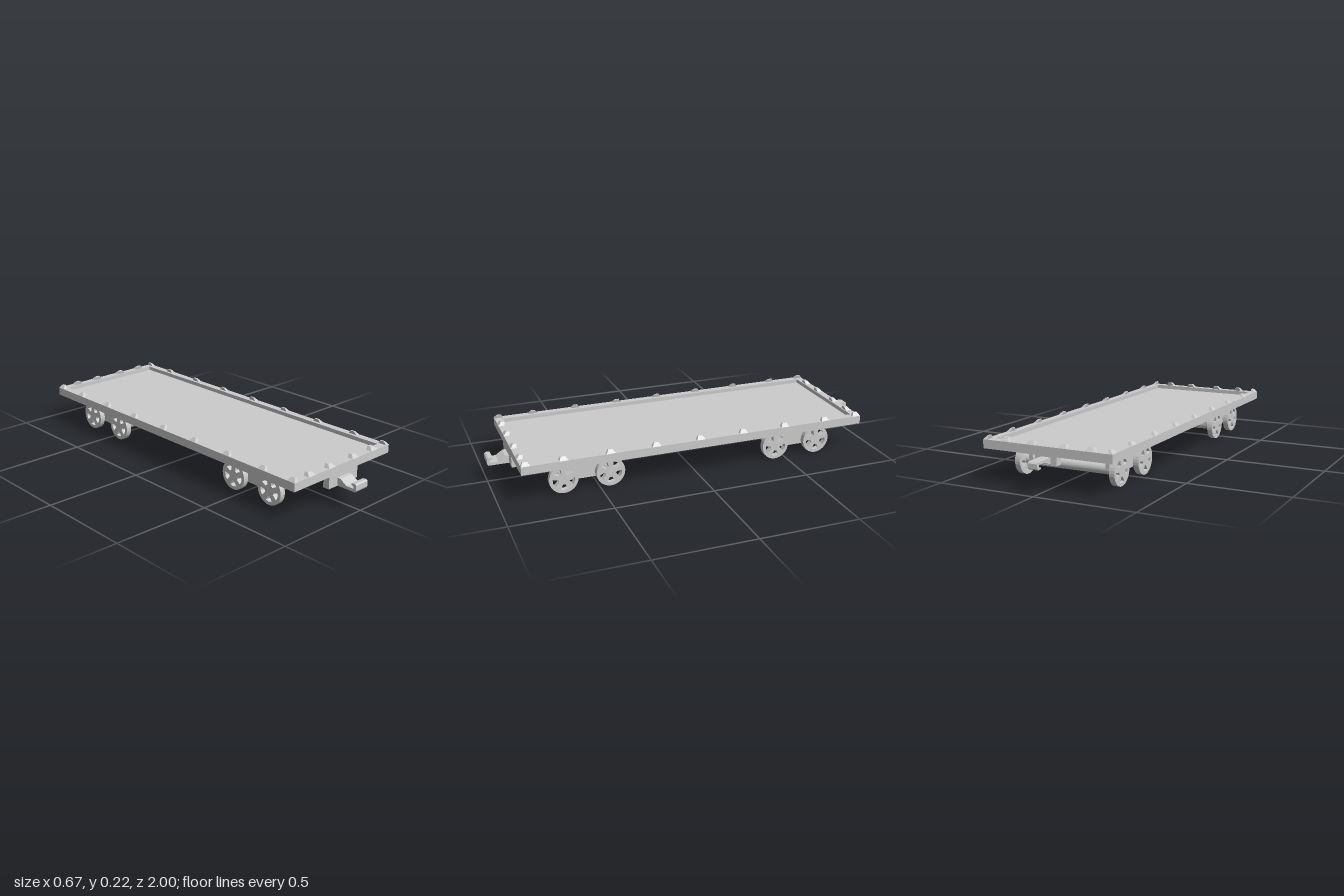
import * as THREE from 'three';

const mat = new THREE.MeshStandardMaterial({ color: 0xcccccc, flatShading: true });
const smooth = new THREE.MeshStandardMaterial({ color: 0xcccccc });

function add(parent, name, geo, x = 0, y = 0, z = 0, material = mat) {
  const m = new THREE.Mesh(geo, material);
  m.name = name;
  m.position.set(x, y, z);
  parent.add(m);
  return m;
}

function polygon(points) {
  return new THREE.Shape(points.map(([a, b]) => new THREE.Vector2(a, b)));
}

// Extrude a (z, y) outline sideways, centred on x = 0
function sideways(shape, width, curveSegments = 12) {
  const g = new THREE.ExtrudeGeometry(shape, { depth: width, bevelEnabled: false, curveSegments });
  g.translate(0, 0, -width / 2);
  g.rotateY(-Math.PI / 2); // outline x becomes z
  return g;
}

// Stake lug: tapered block whose outer (+x) face slopes in and whose inner face overhangs
function lugGeometry(depth) {
  const g = new THREE.BoxGeometry(1, 1, 1);
  const p = g.attributes.position;
  for (let i = 0; i < p.count; i++) {
    const top = p.getY(i) > 0, outer = p.getX(i) > 0;
    const x = outer ? (top ? -0.016 : 0) : (top ? -depth - 0.004 : -depth);
    p.setXYZ(i, x, top ? 0.017 : 0, Math.sign(p.getZ(i)) * (top ? 0.011 : 0.0225));
  }
  g.computeVertexNormals();
  return g;
}

// Wheel outline with five wedge-shaped openings
function wheelShape() {
  const s = new THREE.Shape();
  s.absarc(0, 0, 0.0725, 0, Math.PI * 2, false);
  for (let i = 0; i < 5; i++) {
    const a = -Math.PI / 2 + i * Math.PI * 2 / 5;
    const hole = new THREE.Path();
    const corners = [[0.028, -0.22], [0.055, -0.36], [0.057, 0], [0.055, 0.36], [0.028, 0.22]];
    hole.setFromPoints(corners.map(([r, d]) =>
      new THREE.Vector2(r * Math.cos(a + d), r * Math.sin(a + d))));
    hole.closePath();
    s.holes.push(hole);
  }
  return s;
}

export function createModel() {
  const car = new THREE.Group();
  car.name = 'flatWagon';

  // Deck: raised rim around a sunken floor
  const rim = polygon([[-0.333, -0.893], [0.333, -0.893], [0.333, 0.895], [-0.333, 0.895]]);
  rim.holes.push(polygon([[-0.296, -0.853], [-0.296, 0.858], [0.296, 0.858], [0.296, -0.853]]));
  const rimGeo = new THREE.ExtrudeGeometry(rim, { depth: 0.042, bevelEnabled: false });
  rimGeo.rotateX(-Math.PI / 2);
  add(car, 'deckRim', rimGeo, 0, 0.158, 0);
  add(car, 'deckFloor', new THREE.BoxGeometry(0.592, 0.022, 1.711), 0, 0.169, -0.0025);

  // Stake lugs along the sides and across the ends
  const sideLug = lugGeometry(0.021), endLug = lugGeometry(0.03);
  for (const s of [-1, 1]) {
    for (const z of [-0.872, -0.69, -0.46, -0.23, 0, 0.23, 0.46, 0.69, 0.87]) {
      add(car, 'sideLug', sideLug, s * 0.333, 0.2, z).rotation.y = s > 0 ? 0 : Math.PI;
    }
    for (const x of [-0.22, -0.083, 0.083, 0.22]) {
      add(car, 'endLug', endLug, x, 0.2, s * 0.894).rotation.y = -s * Math.PI / 2;
    }
  }

  // Two bogies, each with two side frames, two axles and four wheels
  const wheelGeo = sideways(wheelShape(), 0.028, 16);
  const frameGeo = sideways(polygon([
    [-0.08, 0.158], [-0.13, 0.147], [-0.145, 0.11], [-0.143, 0.07], [-0.08, 0.04],
    [0.08, 0.04], [0.143, 0.07], [0.145, 0.11], [0.13, 0.147], [0.08, 0.158],
  ]), 0.02);
  const axleGeo = new THREE.CylinderGeometry(0.0255, 0.0255, 0.48, 24);
  axleGeo.rotateZ(Math.PI / 2);
  for (const end of [1, -1]) {
    const bogie = new THREE.Group();
    bogie.name = end > 0 ? 'frontBogie' : 'rearBogie';
    bogie.position.z = end * 0.561;
    car.add(bogie);
    for (const s of [-1, 1]) {
      add(bogie, 'sideFrame', frameGeo, s * 0.204, 0, 0);
      add(bogie, 'axle', axleGeo, 0, 0.0735, s * 0.117, smooth);
      for (const z of [-0.117, 0.117]) add(bogie, 'wheel', wheelGeo, s * 0.249, 0.0725, z);
    }
  }

  // Front coupler: wide mounting block and a hook turned upward
  add(car, 'frontCouplerBlock', new THREE.BoxGeometry(0.2, 0.06, 0.034), 0, 0.129, 0.876);
  add(car, 'frontHook', sideways(polygon([
    [0.88, 0.1], [0.995, 0.1], [1, 0.108], [1, 0.134], [0.992, 0.14], [0.972, 0.138],
    [0.972, 0.13], [0.986, 0.126], [0.984, 0.115], [0.945, 0.115], [0.91, 0.138], [0.88, 0.142],
  ]), 0.082));

  // Rear coupler: smaller block and a hook turned downward
  add(car, 'rearCouplerBlock', new THREE.BoxGeometry(0.11, 0.042, 0.038), 0, 0.138, -0.875);
  add(car, 'rearHook', sideways(polygon([
    [-0.88, 0.154], [-0.995, 0.152], [-1, 0.146], [-1, 0.124], [-0.994, 0.118], [-0.972, 0.12],
    [-0.972, 0.127], [-0.986, 0.131], [-0.984, 0.141], [-0.945, 0.141], [-0.91, 0.128], [-0.88, 0.122],
  ]), 0.05));

  return car;
}
